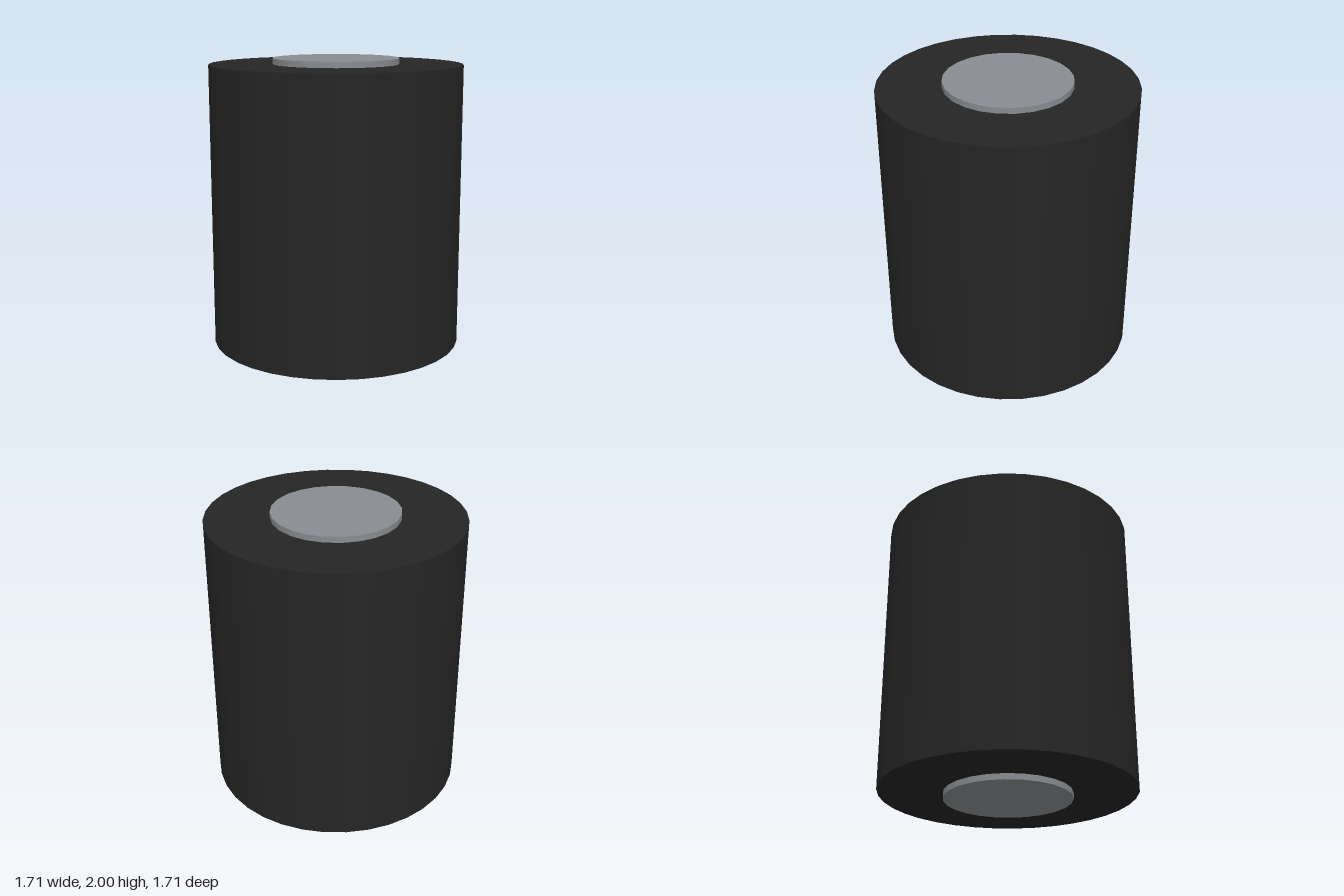
import * as THREE from 'three';

// Upright cylinder centred at y = 1
function roller(name, radius, height, sides, color) {
  const mesh = new THREE.Mesh(
    new THREE.CylinderGeometry(radius, radius, height, sides),
    new THREE.MeshStandardMaterial({ color })
  );
  mesh.name = name;
  mesh.position.y = 1;
  return mesh;
}

export function createModel() {
  const group = new THREE.Group();
  group.name = 'roller';
  // Dark outer sleeve
  group.add(roller('sleeve', 0.857, 1.92, 36, 0x252525));
  // Metal core, standing proud at both ends
  group.add(roller('core', 0.428, 2, 24, 0x888c90));
  return group;
}
